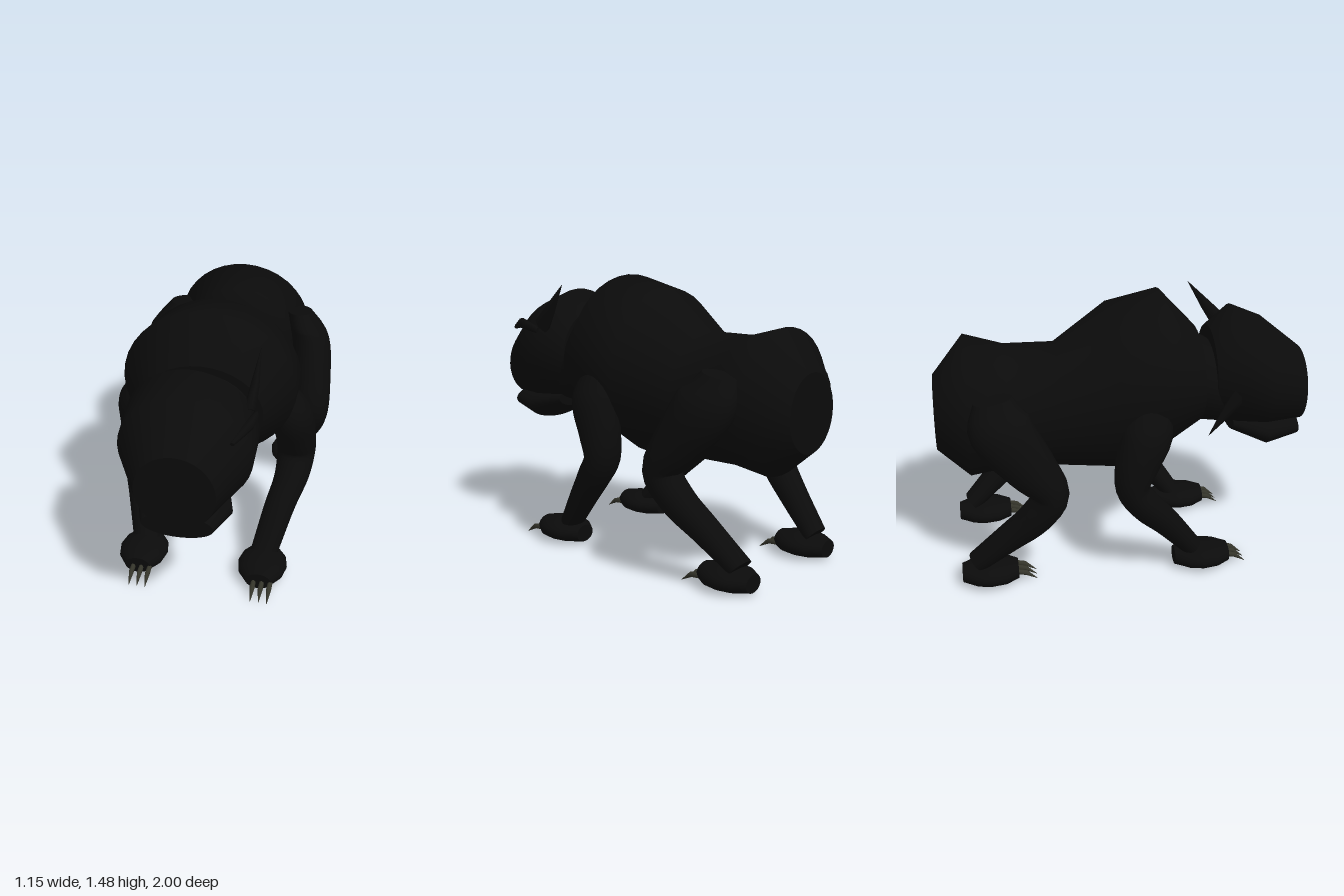
import * as THREE from 'three';

const fur = new THREE.MeshStandardMaterial({ color: 0x0b0b0b });
fur.name = 'blackFur';
const horn = new THREE.MeshStandardMaterial({ color: 0x34342a });
horn.name = 'darkHorn';

// Skin of elliptical rings [x, y, z, halfWidth, halfThickness]; the path lies mostly in the yz plane
function loft(name, rings, segs = 28, material = fur) {
  const pos = [], idx = [];
  const last = rings.length - 1;
  const X = new THREE.Vector3(1, 0, 0);
  const ringPoints = rings.map(([x, y, z, rx, rn], i) => {
    const a = rings[Math.max(i - 1, 0)], b = rings[Math.min(i + 1, last)];
    const t = new THREE.Vector3(0, b[1] - a[1], b[2] - a[2]).normalize();
    const n = t.cross(X);
    return Array.from({ length: segs }, (_, k) => {
      const w = (k / segs) * Math.PI * 2;
      return [x + rx * Math.cos(w), y + n.y * rn * Math.sin(w), z + n.z * rn * Math.sin(w)];
    });
  });
  ringPoints.forEach(r => r.forEach(p => pos.push(...p)));
  for (let i = 0; i < last; i++) {
    for (let k = 0; k < segs; k++) {
      const a = i * segs + k, b = i * segs + (k + 1) % segs;
      idx.push(a, b, b + segs, a, b + segs, a + segs);
    }
  }
  // flat end caps
  for (const end of [0, last]) {
    const c = pos.length / 3;
    pos.push(...rings[end].slice(0, 3));
    ringPoints[end].forEach(p => pos.push(...p));
    for (let k = 0; k < segs; k++) {
      const a = c + 1 + k, b = c + 1 + (k + 1) % segs;
      if (end === 0) idx.push(c, b, a);
      else idx.push(c, a, b);
    }
  }
  const geo = new THREE.BufferGeometry();
  geo.setAttribute('position', new THREE.Float32BufferAttribute(pos, 3));
  geo.setIndex(idx);
  geo.computeVertexNormals();
  const mesh = new THREE.Mesh(geo, material);
  mesh.name = name;
  return mesh;
}

// Level loft along z from [z, bottom, top, halfWidth], with upright rings
function levelLoft(name, stations, x = 0) {
  const mesh = loft(name, stations.map(([z, , , w]) => [x, 0, z, w, 1]), 36);
  const p = mesh.geometry.attributes.position;
  for (let i = 0; i < p.count; i++) {
    const [, lo, hi] = stations.find(s => Math.abs(s[0] - p.getZ(i)) < 1e-4);
    p.setY(i, (lo + hi) / 2 + p.getY(i) * (hi - lo) / 2);
  }
  mesh.geometry.computeVertexNormals();
  return mesh;
}

// Thick limb: smooth the guide rings along a spline
function limb(name, guide, side) {
  const path = new THREE.CatmullRomCurve3(guide.map(g => new THREE.Vector3(g[0] * side, g[1], g[2])));
  const size = new THREE.CatmullRomCurve3(guide.map(g => new THREE.Vector3(g[3], g[4], 0)));
  const rings = Array.from({ length: 25 }, (_, i) => {
    const c = path.getPoint(i / 24), s = size.getPoint(i / 24);
    return [c.x, c.y, c.z, s.x, s.y];
  });
  return loft(name, rings, 20);
}

// Paw with three curved claws
function paw(name, x, z) {
  const g = new THREE.Group();
  g.name = name;
  g.add(levelLoft('pawPad', [
    [z - 0.15, 0.02, 0.115, 0.06], [z - 0.07, 0.008, 0.128, 0.12], [z, 0.005, 0.132, 0.135],
    [z + 0.08, 0.008, 0.128, 0.12], [z + 0.15, 0.02, 0.115, 0.07],
  ], x));
  for (const dx of [-0.025, 0.02, 0.065]) {
    g.add(loft('claw', [
      [x + dx, 0.06, z + 0.13, 0.013, 0.018], [x + dx, 0.05, z + 0.19, 0.014, 0.014],
      [x + dx, 0.008, z + 0.25, 0.001, 0.001],
    ], 8, horn));
  }
  return g;
}

export function createModel() {
  const model = new THREE.Group();
  model.name = 'beast';

  // Trunk, neck, skull and jaw
  model.add(
    levelLoft('body', [
      [-1, 0.67, 1.08, 0.19], [-0.83, 0.53, 1.285, 0.39], [-0.62, 0.55, 1.225, 0.32],
      [-0.35, 0.545, 1.22, 0.325], [-0.06, 0.53, 1.425, 0.45], [0.22, 0.655, 1.485, 0.455],
      [0.41, 0.77, 1.28, 0.32],
    ]),
    levelLoft('neck', [[0.38, 0.77, 1.26, 0.28], [0.5, 0.75, 1.19, 0.255], [0.64, 0.73, 1.15, 0.25]]),
    levelLoft('head', [
      [0.485, 0.78, 1.275, 0.255], [0.62, 0.74, 1.38, 0.335], [0.78, 0.72, 1.31, 0.335],
      [1, 0.72, 1.13, 0.2],
    ]),
    levelLoft('jaw', [[0.6, 0.7, 0.82, 0.18], [0.79, 0.61, 0.81, 0.24], [0.97, 0.65, 0.78, 0.18]]),
  );

  // Ear and brow ridge; the second pair is turned half round the head axis
  for (const turned of [false, true]) {
    const side = new THREE.Group();
    side.name = turned ? 'rightEarAndBrow' : 'leftEarAndBrow';
    side.add(
      loft('ear', [[0.285, 1.19, 0.62, 0.03, 0.055], [0.295, 1.29, 0.54, 0.022, 0.035], [0.305, 1.435, 0.43, 0.001, 0.001]], 6),
      loft('brow', [[0.25, 1.16, 0.88, 0.012, 0.012], [0.31, 1.2, 0.76, 0.025, 0.03], [0.315, 1.17, 0.62, 0.015, 0.02]], 6),
    );
    if (turned) {
      side.rotation.z = Math.PI;
      side.position.y = 2.21;
    }
    model.add(side);
  }

  // Legs and paws
  const front = [
    [0.35, 1.04, 0.09, 0.07, 0.08], [0.41, 0.87, 0.08, 0.12, 0.135], [0.44, 0.7, 0.02, 0.11, 0.115],
    [0.445, 0.57, 0.0, 0.105, 0.09], [0.435, 0.45, 0.075, 0.095, 0.085],
    [0.39, 0.32, 0.19, 0.085, 0.075], [0.335, 0.12, 0.35, 0.075, 0.055],
  ];
  const hind = [
    [0.35, 1.08, -0.7, 0.07, 0.1], [0.42, 0.94, -0.67, 0.11, 0.165], [0.455, 0.74, -0.53, 0.11, 0.135],
    [0.46, 0.58, -0.43, 0.11, 0.095], [0.44, 0.44, -0.51, 0.098, 0.09],
    [0.39, 0.3, -0.65, 0.085, 0.075], [0.335, 0.13, -0.83, 0.075, 0.055],
  ];
  for (const s of [1, -1]) {
    const label = s > 0 ? 'left' : 'right';
    model.add(
      limb(label + 'FrontLeg', front, s), paw(label + 'FrontPaw', 0.335 * s, 0.4),
      limb(label + 'HindLeg', hind, s), paw(label + 'HindPaw', 0.335 * s, -0.76),
    );
  }
  return model;
}
